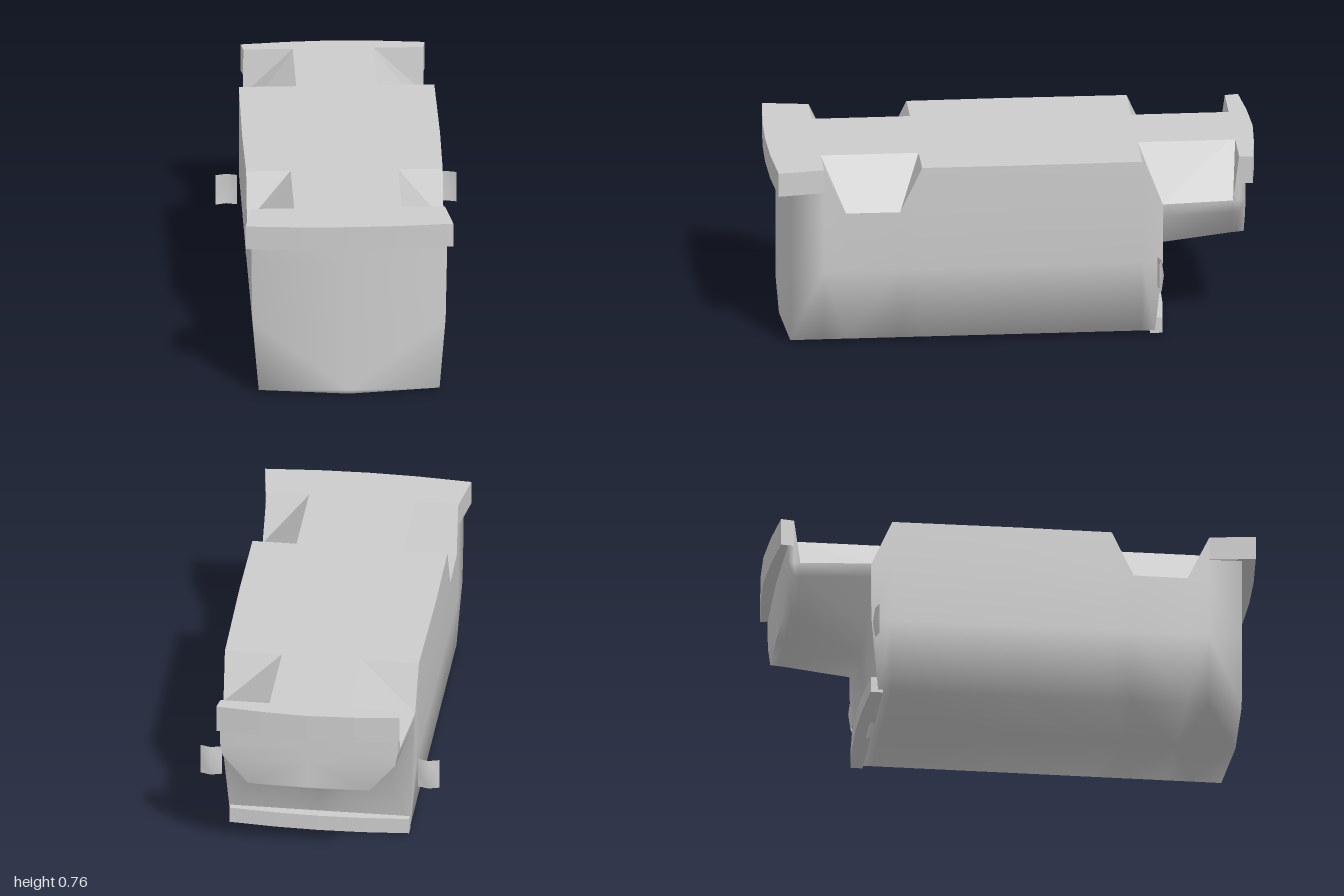
import * as THREE from 'three';
import { mergeVertices } from 'three/addons/utils/BufferGeometryUtils.js';

const TOP = 0.76;

export function createModel() {
  const model = new THREE.Group();
  const grey = new THREE.MeshStandardMaterial({ color: 0xcccccc, side: THREE.DoubleSide });
  grey.name = 'plain grey';

  const add = (name, geometry) => {
    const mesh = new THREE.Mesh(geometry, grey);
    mesh.name = name;
    model.add(mesh);
  };

  // Half cross-section from bottom centre up to the deck; a notch lowers the outer deck edge.
  const ring = (z, w, inner, notch, low = [[0, 0], [0.37, 0.015], [0.395, 0.32], [w, 0.57]], bow = 0) => {
    const top = notch ? low[3] : [w, TOP];
    const pts = [...low, top, [inner, TOP], [0, TOP]].map(([x, y]) => [x, y, z + bow * (1 - x / 0.4)]);
    return { pts, notch };
  };
  const closed = (r) => ({ pts: r.pts.map(([, y]) => [0, y, r.pts[0][2]]), cap: true });
  const overhang = (w, y) => [[0, y], [0.25, y + 0.008], [w - 0.01, 0.515], [w, 0.57]];

  // Back wall leans slightly, so the lower points of this ring sit further forward.
  const backWall = ring(-0.6, 0.395, 0.165, true);
  backWall.pts[0][2] = backWall.pts[1][2] = -0.57;

  const front = ring(0.925, 0.4, 0.22, false, undefined, 0.018);
  const back = ring(-0.94, 0.365, 0.165, false, overhang(0.365, 0.385), -0.008);
  const rings = [
    closed(front), front,
    ring(0.79, 0.395, 0.22, false),
    ring(0.7, 0.4, 0.22, true),
    ring(0.478, 0.402, 0.22, true),
    ring(0.388, 0.402, 0.22, false),
    ring(0, 0.405, 0.2, false),
    ring(-0.515, 0.4, 0.165, false),
    backWall,
    ring(-0.602, 0.395, 0.165, true, overhang(0.395, 0.345)),
    ring(-0.89, 0.37, 0.165, true, overhang(0.37, 0.38)),
    ring(-0.915, 0.367, 0.165, false, overhang(0.367, 0.382)),
    back, closed(back),
  ];

  // Joins the rings over a range of columns, mirrored to both sides.
  const loft = (from, to, skipCaps) => {
    const pos = [];
    for (let i = 0; i < rings.length - 1; i++) {
      const p = rings[i], q = rings[i + 1];
      if (skipCaps && (p.cap || q.cap)) continue;
      for (let j = from; j < to; j++) {
        const a = p.pts[j], b = p.pts[j + 1], c = q.pts[j], d = q.pts[j + 1];
        const tris = q.notch && !p.notch ? [[a, c, b], [c, d, b]] : [[a, c, d], [a, d, b]];
        for (const [u, v, w] of tris) {
          pos.push(...u, ...v, ...w);
          for (const [x, y, z] of [u, w, v]) pos.push(-x, y, z);
        }
      }
    }
    const g = new THREE.BufferGeometry();
    g.setAttribute('position', new THREE.Float32BufferAttribute(pos, 3));
    return g;
  };

  // Smooth outer shell
  const shell = mergeVertices(loft(0, 4, false), 1e-4);
  shell.computeVertexNormals();
  add('bodyShell', shell);

  // Flat deck with the four sloped notches
  const deck = loft(4, 6, true);
  deck.computeVertexNormals();
  add('notchedDeck', deck);

  // Horizontal slab from a plan outline in x and z
  const slab = (name, half, y0, y1) => {
    const left = half.map(([x, z]) => new THREE.Vector2(x, z));
    const right = half.filter(([x]) => x > 0).reverse().map(([x, z]) => new THREE.Vector2(-x, z));
    const g = new THREE.ExtrudeGeometry(new THREE.Shape([...left, ...right]), { depth: y1 - y0, bevelEnabled: false });
    g.rotateX(Math.PI / 2).translate(0, y1, 0);
    add(name, g);
  };
  slab('frontBumper', [[0.397, 0.79], [0.425, 0.978], [0.2, 0.995], [0, 1]], 0.66, TOP);
  slab('rearBumper', [[0.367, -0.915], [0.377, -0.97], [0.19, -0.99], [0, -1]], 0.645, TOP);
  slab('rearLip', [[0.37, -0.55], [0.37, -0.6], [0.18, -0.615], [0, -0.62]], 0.003, 0.07);

  // Thin bowed side mirrors
  for (const side of [1, -1]) {
    const g = new THREE.PlaneGeometry(0.088, 0.13, 2, 2);
    const p = g.attributes.position;
    for (let i = 0; i < p.count; i++) {
      const u = p.getX(i) / 0.044, v = p.getY(i) / 0.065;
      p.setZ(i, -0.022 * (1 - u * u) * (1 - 0.4 * v * v));
    }
    g.translate(side * 0.448, 0.28, -0.578);
    g.computeVertexNormals();
    add(side > 0 ? 'leftMirror' : 'rightMirror', g);
  }
  return model;
}
